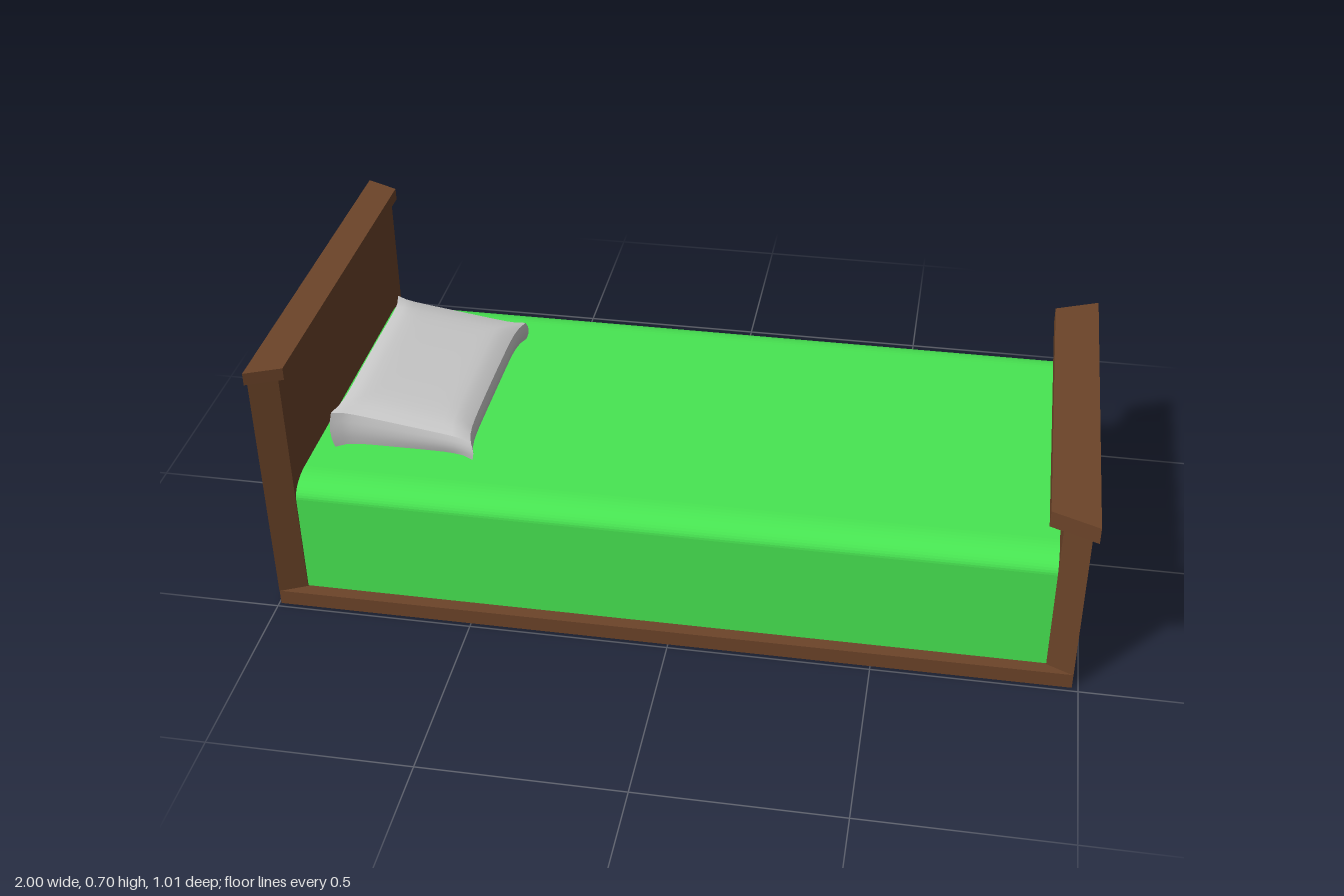
import * as THREE from 'three';

const wood = new THREE.MeshStandardMaterial({ color: 0x6c4429 });
const cloth = new THREE.MeshStandardMaterial({ color: 0x48e652 });
const grey = new THREE.MeshStandardMaterial({ color: 0xcccccc });

function addMesh(parent, name, geometry, material) {
  const mesh = new THREE.Mesh(geometry, material);
  mesh.name = name;
  parent.add(mesh);
  return mesh;
}

// Upright board with a trapezoid plan: half widths w0 at x0 and w1 at x1
function board(x0, w0, x1, w1, y0, y1) {
  const plan = new THREE.Shape([
    new THREE.Vector2(x0, -w0), new THREE.Vector2(x1, -w1),
    new THREE.Vector2(x1, w1), new THREE.Vector2(x0, w0),
  ]);
  const g = new THREE.ExtrudeGeometry(plan, { depth: y1 - y0, bevelEnabled: false });
  return g.rotateX(-Math.PI / 2).translate(0, y0, 0);
}

// Mattress: section with rounded long top edges, extruded along x
function mattressGeometry() {
  const half = 0.455, bottom = 0.04, top = 0.355, rz = 0.08, ry = 0.045;
  const s = new THREE.Shape();
  s.moveTo(-half, bottom);
  s.lineTo(half, bottom);
  s.lineTo(half, top - ry);
  s.absellipse(half - rz, top - ry, rz, ry, 0, Math.PI / 2, false);
  s.lineTo(-half + rz, top);
  s.absellipse(-half + rz, top - ry, rz, ry, Math.PI / 2, Math.PI, false);
  s.closePath();
  const g = new THREE.ExtrudeGeometry(s, { depth: 1.85, bevelEnabled: false, curveSegments: 6 });
  return g.rotateY(Math.PI / 2).translate(-0.93, 0, 0);
}

// Pillow: wedge, thick at the head end, with drawn-out corners
function pillowGeometry() {
  const g = new THREE.BoxGeometry(2, 2, 2, 14, 4, 18);
  const p = g.attributes.position;
  for (let i = 0; i < p.count; i++) {
    const u = p.getX(i), t = p.getY(i), v = p.getZ(i);
    const corner = Math.pow(Math.abs(u * v), 5);
    const edge = Math.max(Math.pow(Math.abs(u), 8), Math.pow(Math.abs(v), 8));
    const low = 0.357 + 0.008 * edge * (1 - corner);
    const high = 0.448 - 0.026 * u - 0.014 * edge + 0.006 * (1 - v * v);
    const bulge = 0.006 * (1 - t * t);
    p.setXYZ(i,
      -0.703 + u * (0.161 + 0.016 * Math.pow(Math.abs(v), 8) + bulge),
      low + (high - low) * (t + 1) / 2,
      -0.003 + v * (0.276 + 0.013 * Math.pow(Math.abs(u), 8) + bulge));
  }
  g.computeVertexNormals();
  return g;
}

export function createModel() {
  const bed = new THREE.Group();
  bed.name = 'bed';

  // Wooden frame
  addMesh(bed, 'base', board(-0.995, 0.488, 0.985, 0.488, 0, 0.04), wood);
  addMesh(bed, 'headboard', board(-0.995, 0.489, -0.93, 0.458, 0.04, 0.665), wood);
  addMesh(bed, 'headboardCap', board(-1, 0.497, -0.915, 0.459, 0.665, 0.697), wood);
  addMesh(bed, 'footboard', board(0.92, 0.458, 0.985, 0.489, 0.04, 0.45), wood);
  addMesh(bed, 'footboardCap', board(0.887, 0.455, 1, 0.503, 0.45, 0.493), wood);

  // Bedding
  addMesh(bed, 'mattress', mattressGeometry(), cloth);
  addMesh(bed, 'pillow', pillowGeometry(), grey);

  return bed;
}
